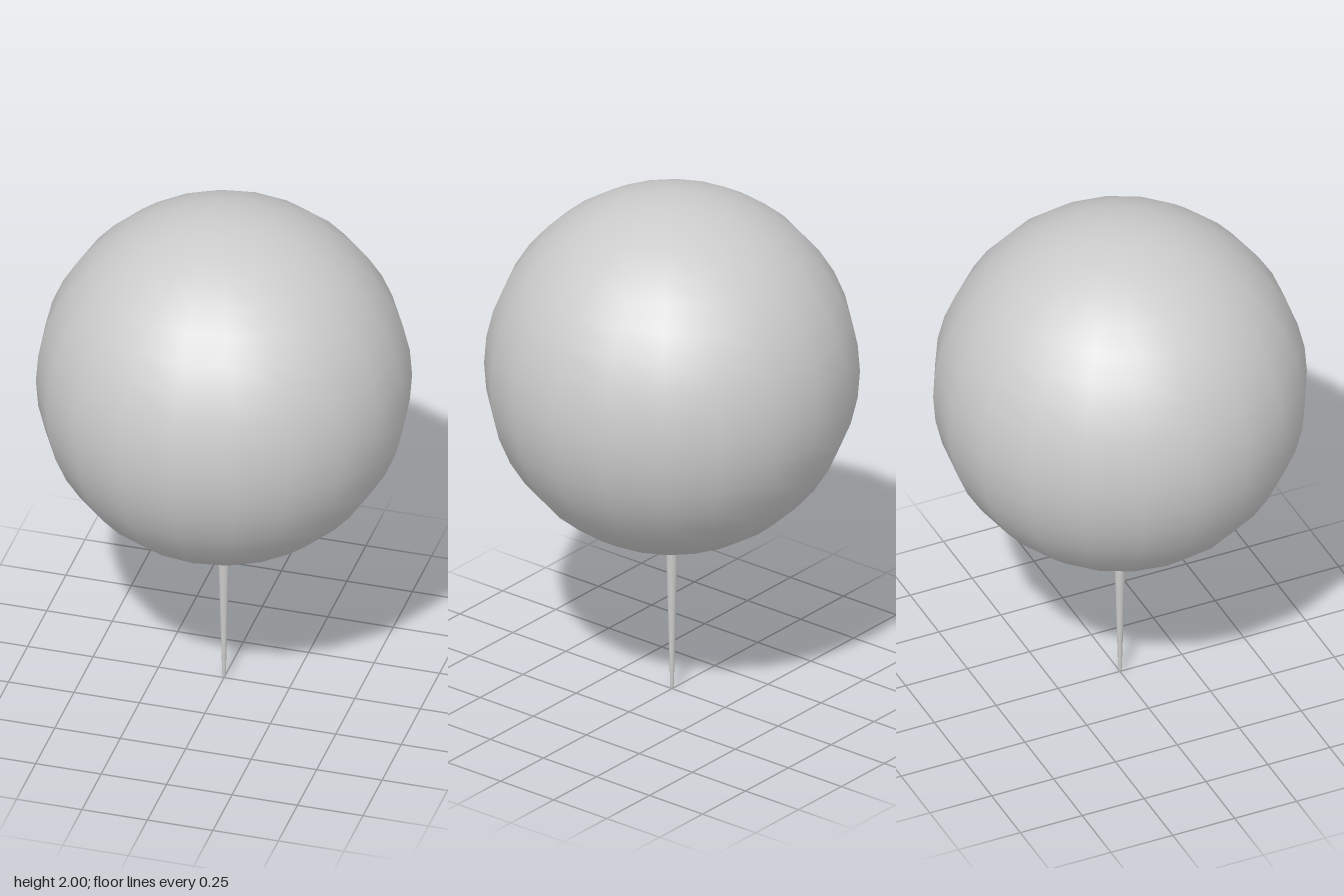
import * as THREE from 'three';

const SIDES = 20;
const RADIUS = 0.69;
const CENTRE_Y = 1.31;
const CUT = Math.PI * 0.95; // the ball stops one ring short of its lower pole

export function createModel() {
  const model = new THREE.Group();
  model.name = 'ballHeadPin';
  const material = new THREE.MeshStandardMaterial({ color: 0xcccccc });

  const add = (name, geometry, y) => {
    const mesh = new THREE.Mesh(geometry, material);
    mesh.name = name;
    mesh.position.y = y;
    model.add(mesh);
    return mesh;
  };

  // Round head, open at the bottom
  add('head', new THREE.SphereGeometry(RADIUS, SIDES, SIDES - 1, 0, Math.PI * 2, 0, CUT), CENTRE_Y);

  // Flat disc closing the head, facing down
  const capY = CENTRE_Y + RADIUS * Math.cos(CUT);
  const cap = new THREE.CircleGeometry(RADIUS * Math.sin(CUT), SIDES);
  cap.rotateX(Math.PI / 2);
  add('headBase', cap, capY);

  // Tapering needle with a small blunted tip
  const profile = [[0, 0], [0.004, 0], [0.007, 0.02], [0.024, capY]]
    .map(([r, y]) => new THREE.Vector2(r, y));
  add('needle', new THREE.LatheGeometry(profile, 12), 0);

  return model;
}
